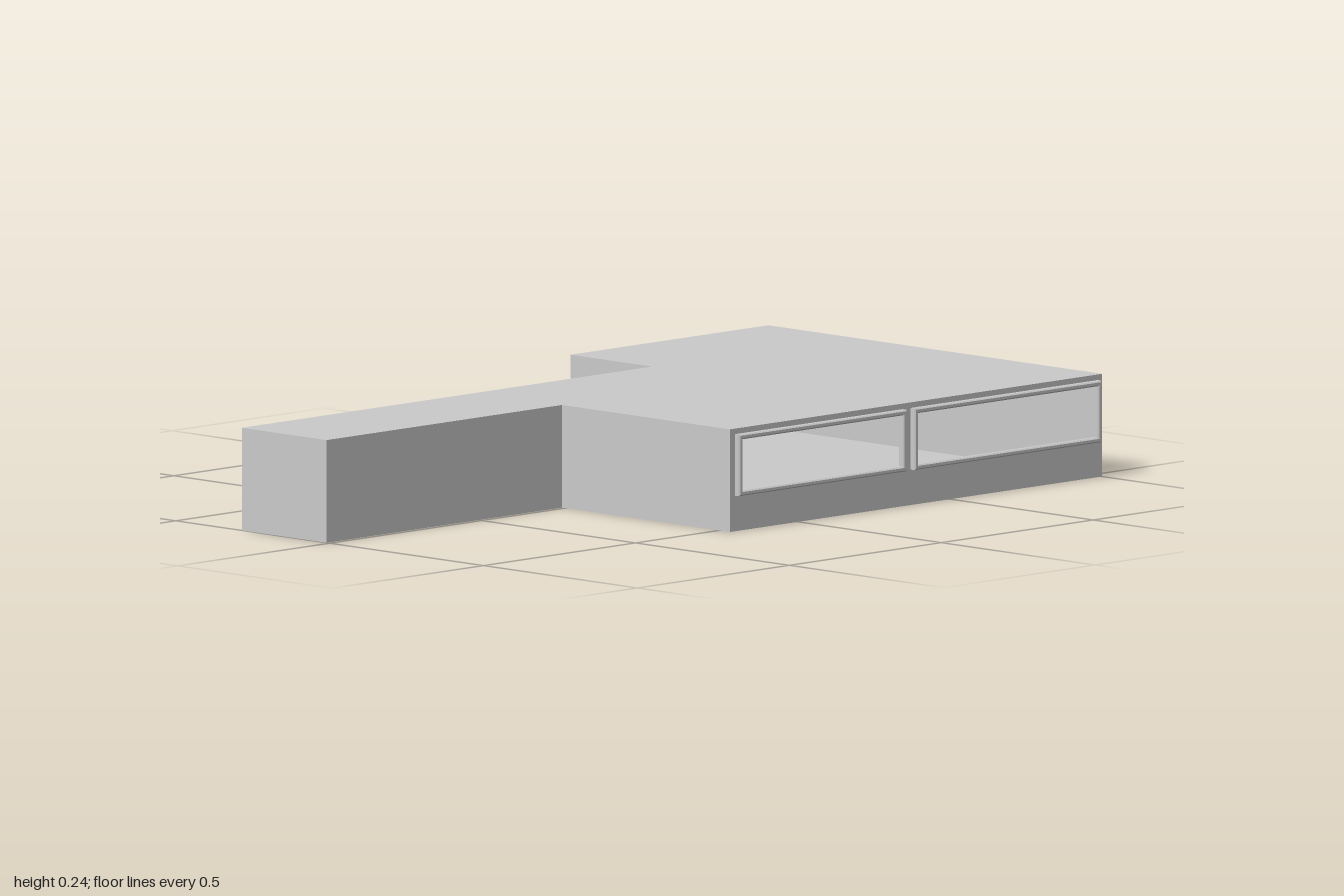
import * as THREE from 'three';

const HEIGHT = 0.24;
// Floor plan corners as [x, z]; the first edge is the front wall
const PLAN = [
  [-0.225, 0.535], [1, 0.535], [1, -0.55], [0.35, -0.55],
  [0.35, -0.285], [-1, -0.285], [-1, -0.01], [-0.225, -0.01],
];
// Window outlines on the front wall: x from, x to
const WINDOWS = [[-0.208, 0.344], [0.37, 0.985]];
const SILL = 0.083, HEAD = 0.227, FRAME = 0.012, BEVEL = 0.003;

function rect(x0, y0, x1, y1, Type = THREE.Shape) {
  return new Type([[x0, y0], [x1, y0], [x1, y1], [x0, y1]].map(p => new THREE.Vector2(...p)));
}

export function createModel() {
  const group = new THREE.Group();
  const material = new THREE.MeshStandardMaterial({ color: 0xcccccc, side: THREE.DoubleSide });
  const add = (name, geometry) => {
    const mesh = new THREE.Mesh(geometry, material);
    mesh.name = name;
    group.add(mesh);
    return mesh;
  };

  // Floor and roof share the plan outline
  const plan = new THREE.Shape(PLAN.map(([x, z]) => new THREE.Vector2(x, -z)));
  add('floor', new THREE.ShapeGeometry(plan).rotateX(Math.PI / 2).scale(1, 1, -1));
  add('roof', new THREE.ShapeGeometry(plan).rotateX(-Math.PI / 2)).position.y = HEIGHT;
  // The floor faces down: rebuild its winding after mirroring
  const floor = group.getObjectByName('floor');
  floor.geometry = new THREE.ShapeGeometry(plan).rotateX(-Math.PI / 2);
  floor.geometry.index.array.reverse();
  floor.geometry.computeVertexNormals();

  // One thin wall per plan edge; the front wall has window openings
  PLAN.forEach(([ax, az], i) => {
    const [bx, bz] = PLAN[(i + 1) % PLAN.length];
    const shape = rect(0, 0, Math.hypot(bx - ax, bz - az), HEIGHT);
    if (i === 0) {
      for (const [x0, x1] of WINDOWS) {
        shape.holes.push(rect(x0 - ax + FRAME, SILL + FRAME, x1 - ax - FRAME, HEAD - FRAME, THREE.Path));
      }
    }
    const wall = add(i === 0 ? 'frontWall' : 'wall' + i, new THREE.ShapeGeometry(shape));
    wall.position.set(ax, 0, az);
    wall.rotation.y = Math.atan2(az - bz, bx - ax);
  });

  // Chamfered frames standing proud of the front wall
  WINDOWS.forEach(([x0, x1], i) => {
    const shape = rect(x0 + BEVEL, SILL + BEVEL, x1 - BEVEL, HEAD - BEVEL);
    const inset = FRAME - BEVEL;
    shape.holes.push(rect(x0 + inset, SILL + inset, x1 - inset, HEAD - inset, THREE.Path));
    const geometry = new THREE.ExtrudeGeometry(shape, {
      depth: 0.012, bevelSize: BEVEL, bevelThickness: BEVEL, bevelSegments: 1,
    });
    add('windowFrame' + (i + 1), geometry).position.z = 0.535;
  });

  return group;
}
